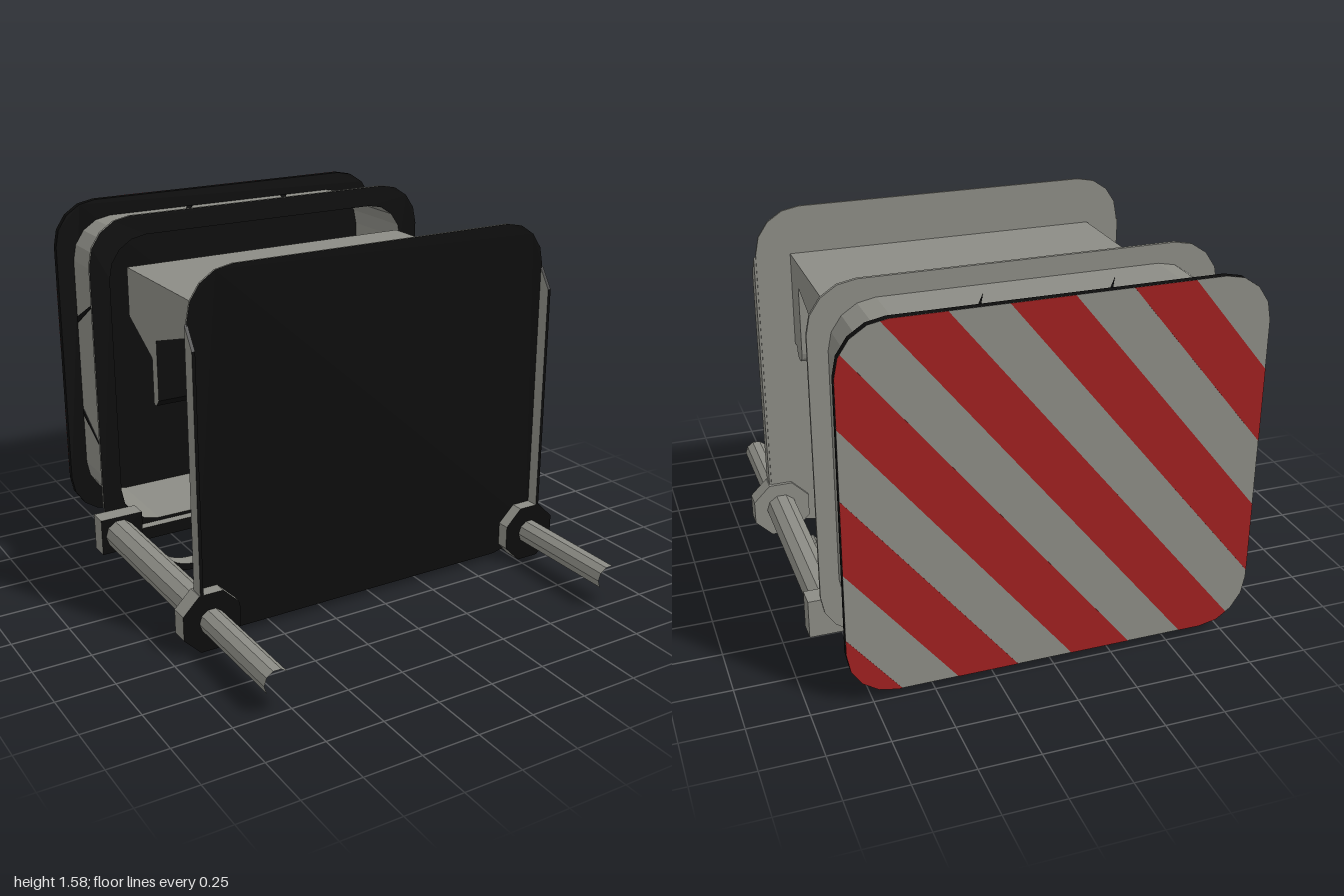
import * as THREE from 'three';

const grey = new THREE.MeshStandardMaterial({ color: 0x8c8c85 });
grey.name = 'grey metal';
const black = new THREE.MeshStandardMaterial({ color: 0x0c0c0c });
black.name = 'black';
const red = new THREE.MeshStandardMaterial({ color: 0xa02020 });
red.name = 'red';

// Flat-shaded mesh: faces turned to the front are black, all others grey
function painted(name, geometry) {
  const g = geometry.index ? geometry.toNonIndexed() : geometry;
  g.computeVertexNormals();
  g.clearGroups();
  const normal = g.attributes.normal;
  let start = 0;
  let current = -1;
  for (let i = 0; i < normal.count; i += 3) {
    const m = normal.getZ(i) > 0.25 ? 1 : 0;
    if (m !== current) {
      if (current >= 0) g.addGroup(start, i - start, current);
      start = i;
      current = m;
    }
  }
  g.addGroup(start, normal.count - start, current);
  return named(name, new THREE.Mesh(g, [grey, black]));
}

function named(name, object) {
  object.name = name;
  return object;
}

// Rounded rectangle as points, counter-clockwise
function roundedOutline(halfWidth, bottom, top, radius, steps = 4) {
  const points = [];
  const centres = [
    [halfWidth - radius, top - radius], [radius - halfWidth, top - radius],
    [radius - halfWidth, bottom + radius], [halfWidth - radius, bottom + radius],
  ];
  centres.forEach(([x, y], corner) => {
    for (let i = 0; i <= steps; i++) {
      const a = (corner + i / steps) * Math.PI / 2;
      points.push(new THREE.Vector2(x + radius * Math.cos(a), y + radius * Math.sin(a)));
    }
  });
  return points;
}

function plate(points, z, depth, hole) {
  const shape = new THREE.Shape(points);
  if (hole) shape.holes.push(new THREE.Path(hole));
  return new THREE.ExtrudeGeometry(shape, { depth, bevelEnabled: false, curveSegments: 6 }).translate(0, 0, z);
}

// Side profile given in (z, y), swept across x
function sideProfile(points, x, width) {
  const shape = new THREE.Shape(points.map(([z, y]) => new THREE.Vector2(z, y)));
  return new THREE.ExtrudeGeometry(shape, { depth: width, bevelEnabled: false })
    .rotateY(-Math.PI / 2).translate(x + width / 2, 0, 0);
}

function box(x0, x1, y0, y1, z0, z1) {
  return new THREE.BoxGeometry(x1 - x0, y1 - y0, z1 - z0)
    .translate((x0 + x1) / 2, (y0 + y1) / 2, (z0 + z1) / 2);
}

function rod(x, y, z0, z1, radius, sides, open) {
  return new THREE.CylinderGeometry(radius, radius, z1 - z0, sides, 1, open)
    .rotateX(Math.PI / 2).rotateZ(Math.PI / sides).translate(x, y, (z0 + z1) / 2);
}

// Keep the part of a convex polygon where a*x + b*y >= c
function clip(points, a, b, c) {
  const out = [];
  points.forEach((p, i) => {
    const q = points[(i + 1) % points.length];
    const dp = a * p.x + b * p.y - c;
    const dq = a * q.x + b * q.y - c;
    if (dp >= 0) out.push(p);
    if (dp * dq < 0) out.push(p.clone().lerp(q, dp / (dp - dq)));
  });
  return out;
}

export function createModel() {
  const model = named('crashCushion', new THREE.Group());
  const panel = roundedOutline(0.85, 0.04, 1.58, 0.2);
  const bodyOuter = roundedOutline(0.77, 0.12, 1.5, 0.19);
  const bodyInner = roundedOutline(0.76, 0.13, 1.49, 0.18);

  // Upright panels and the hollow cushion body
  model.add(painted('frontPanel', plate(panel, 0.395, 0.01)));
  model.add(painted('cushionFlange', plate(panel, -0.578, 0.014, bodyInner)));
  model.add(painted('cushionBody', plate(bodyOuter, -0.97, 0.4, bodyInner)));
  model.add(named('backPanel', new THREE.Mesh(plate(panel, -0.997, 0.029), black)));
  model.add(named('backFace', new THREE.Mesh(plate(panel, -0.9985, 0.001), grey)));

  // Diagonal warning stripes, cut to the panel outline
  const stripes = named('warningStripes', new THREE.Group());
  const dir = new THREE.Vector2(-1.29, -1.6).normalize();
  const [nx, ny] = [-dir.y, dir.x];
  for (let i = -4; i <= 4; i++) {
    const along = 0.85 - (0.29 + i * 0.48);
    const c = nx * along + ny * 1.58;
    const half = 0.125 * Math.abs(nx);
    const piece = clip(clip(panel, nx, ny, c - half), -nx, -ny, -c - half);
    if (piece.length > 2) stripes.add(named('stripe', new THREE.Mesh(plate(piece, -1, 0.001), red)));
  }
  model.add(stripes);

  // Thin dark slits on the four sides of the body
  const slits = named('bodySlits', new THREE.Group());
  const addSlit = (z0, a0, z1, a1, place) => {
    const shape = new THREE.Shape([
      new THREE.Vector2(z0, a0), new THREE.Vector2(z1, a1 - 0.015), new THREE.Vector2(z1, a1 + 0.015),
    ]);
    const g = new THREE.ExtrudeGeometry(shape, { depth: 0.006, bevelEnabled: false });
    slits.add(named('slit', new THREE.Mesh(place(g), black)));
  };
  for (const side of [-1, 1]) {
    for (const [y0, y1] of [[1.2, 1.03], [0.4, 0.57]]) {
      addSlit(-0.67, y0, -0.96, y1, (g) => g.rotateY(-Math.PI / 2).translate(side * 0.77 + 0.003, 0, 0));
    }
    for (const [x0, x1] of [[-0.35, -0.18], [0.19, 0.33]]) {
      const y = side > 0 ? 1.498 : 0.116;
      addSlit(0.67, x0, 0.96, x1, (g) => g.rotateZ(Math.PI / 2).rotateX(-Math.PI / 2)
        .applyMatrix4(new THREE.Matrix4().makeScale(-1, 1, -1))
        .rotateY(Math.PI).applyMatrix4(new THREE.Matrix4().makeRotationZ(Math.PI))
        .translate(0, y + 0.006, 0));
    }
  }
  // Top and bottom slits are laid out again on their own plane
  slits.children.filter((m) => {
    m.geometry.computeBoundingBox();
    const b = m.geometry.boundingBox;
    return b.max.x - b.min.x > 0.1;
  }).forEach((m) => slits.remove(m));
  for (const y of [1.5, 0.117]) {
    for (const [x0, x1] of [[-0.35, -0.18], [0.19, 0.33]]) {
      const shape = new THREE.Shape([
        new THREE.Vector2(x0, 0.67), new THREE.Vector2(x1 + 0.015, 0.96), new THREE.Vector2(x1 - 0.015, 0.96),
      ]);
      const g = new THREE.ExtrudeGeometry(shape, { depth: 0.006, bevelEnabled: false });
      slits.add(named('slit', new THREE.Mesh(g.rotateX(-Math.PI / 2).translate(0, y - 0.003, 0), black)));
    }
  }
  model.add(slits);

  // Hood with its sloped underside, rear hook and rounded front column
  const hood = [[0.4, 1.37], [-0.51, 1.37], [-0.51, 1.15], [-0.28, 1.02], [-0.28, 0.81], [-0.255, 0.81],
    [-0.23, 0.84], [-0.23, 1.11], [0.26, 1.26], [0.26, 0.95]];
  for (let i = 1; i <= 6; i++) {
    const a = Math.PI + i / 6 * Math.PI;
    hood.push([0.31 + 0.05 * Math.cos(a), 0.95 + 0.05 * Math.sin(a)]);
  }
  hood.push([0.4, 0.95]);
  model.add(painted('hood', sideProfile(hood, 0, 1.4)));

  // Crossbars with upturned ends under the tubes, and the rear beam
  for (const z of [-0.25, 0.02]) {
    const bar = new THREE.Shape();
    bar.moveTo(-0.76, 0.12);
    bar.quadraticCurveTo(-0.7, 0.03, -0.58, 0.03);
    bar.lineTo(0.58, 0.03);
    bar.quadraticCurveTo(0.7, 0.03, 0.76, 0.12);
    bar.lineTo(0.73, 0.14);
    bar.quadraticCurveTo(0.68, 0.06, 0.58, 0.06);
    bar.lineTo(-0.58, 0.06);
    bar.quadraticCurveTo(-0.68, 0.06, -0.73, 0.14);
    model.add(painted('crossbar', plate(bar.getPoints(6), z, 0.07)));
  }
  model.add(painted('rearBeam', box(-0.72, 0.72, 0.06, 0.12, -0.555, -0.51)));

  for (const s of [-1, 1]) {
    const x = s * 0.81;
    // Tubes, collars and end brackets
    model.add(painted('mainTube', rod(x, 0.135, -0.5, 0.39, 0.07, 10, false)));
    model.add(painted('frontTube', rod(x, 0.135, 0.45, 1, 0.056, 10, true)));
    model.add(painted('collar', rod(x, 0.132, 0.38, 0.46, 0.138, 8, false)));
    model.add(painted('endBracket', box(s * 0.8 - 0.1, s * 0.8 + 0.1, 0.05, 0.22, -0.565, -0.48)));
    // Folded edge of the front panel
    const fold = [[0.46, 0.13], [0.46, 1.28], [0.4, 1.37], [0.4, 0.13]];
    model.add(painted('panelFold', sideProfile(fold, s * 0.852, 0.014)));
    // Ring and bolt hole marks facing the rear
    const ring = new THREE.RingGeometry(0.1, 0.13, 24).rotateY(Math.PI).translate(s * 0.34, 0.68, 0.392);
    model.add(named('ringMark', new THREE.Mesh(ring, black)));
    const bolt = new THREE.CircleGeometry(0.03, 12).rotateY(Math.PI).translate(s * 0.42, 1.15, 0.257);
    model.add(named('boltHole', new THREE.Mesh(bolt, black)));
  }
  return model;
}
